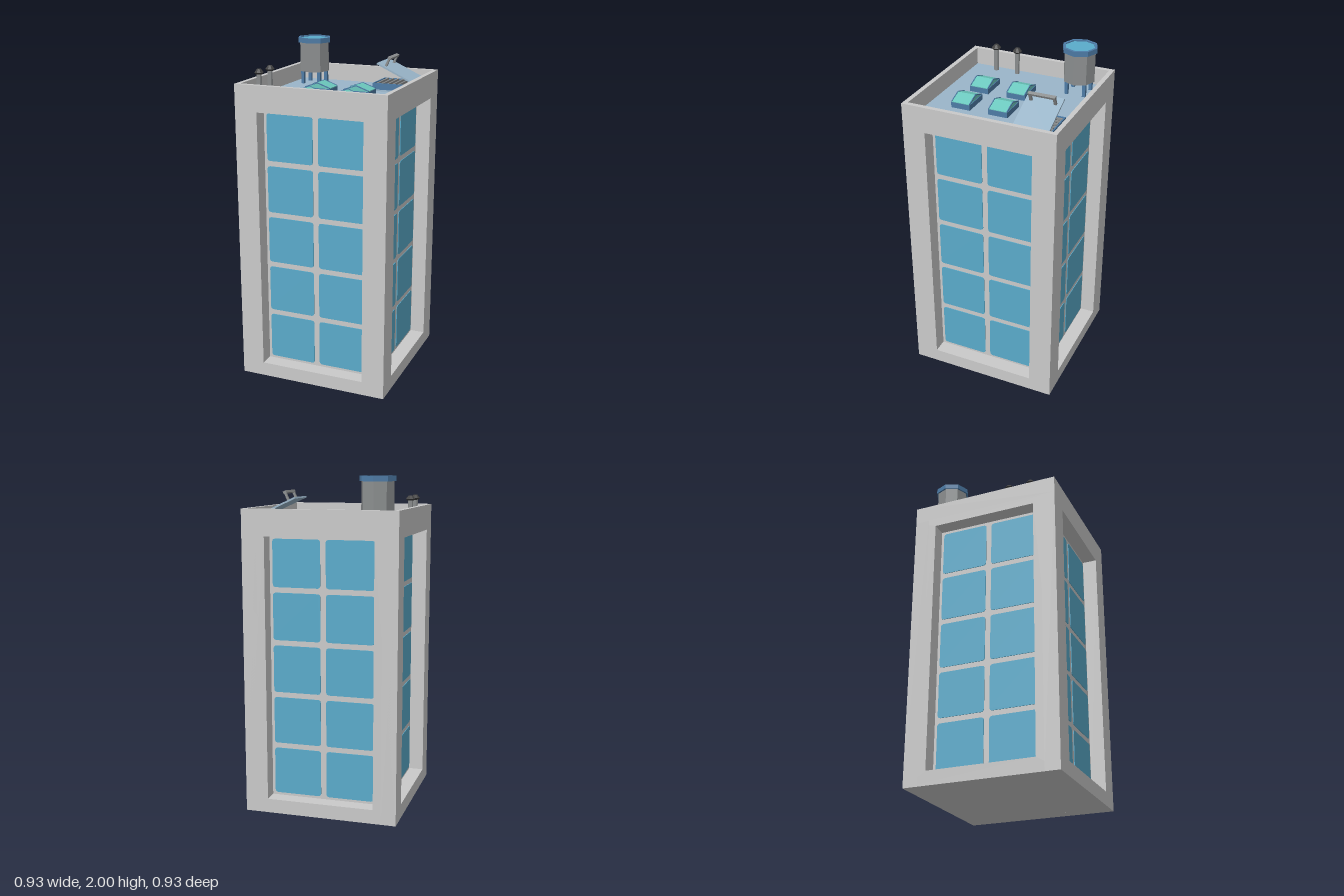
import * as THREE from 'three';

const material = (name, color, extra = {}) => {
  const m = new THREE.MeshStandardMaterial({ color, ...extra });
  m.name = name;
  return m;
};

export function createModel() {
  const concrete = material('concrete', 0xcacaca, { flatShading: true });
  const glass = material('window glass', 0x5aabcb, { flatShading: true });
  const roofBlue = material('roof covering', 0x9ab5c9, { flatShading: true });
  const trim = material('blue trim', 0x4d7ba6, { flatShading: true });
  const teal = material('skylight glass', 0x6cc9be, { flatShading: true });
  const metal = material('grey metal', 0x8c8f90, { flatShading: true });
  const dark = material('dark metal', 0x404040, { flatShading: true });

  const model = new THREE.Group();
  model.name = 'officeTower';

  function add(parent, name, geometry, mat, x = 0, y = 0, z = 0) {
    const mesh = new THREE.Mesh(geometry, mat);
    mesh.name = name;
    mesh.position.set(x, y, z);
    parent.add(mesh);
    return mesh;
  }
  const box = (w, h, d) => new THREE.BoxGeometry(w, h, d);
  const group = (name, x = 0, y = 0, z = 0, parent = model) => {
    const g = new THREE.Group();
    g.name = name;
    g.position.set(x, y, z);
    parent.add(g);
    return g;
  };
  function rect(Type, x0, y0, x1, y1) {
    return new Type([[x0, y0], [x1, y0], [x1, y1], [x0, y1]].map(p => new THREE.Vector2(...p)));
  }
  const extrude = (shape, depth) => new THREE.ExtrudeGeometry(shape, { depth, bevelEnabled: false });

  const H = 0.463, DEPTH = 0.09, FLOOR = 1.712, TOP = 1.815;

  // Core block behind the recessed windows
  add(model, 'core', box(2 * (H - DEPTH), 1.7, 2 * (H - DEPTH)), concrete, 0, 0.85, 0);

  // Window pane with slightly rounded corners
  const w = 0.145, h = 0.141, r = 0.015;
  const pane = new THREE.Shape([
    [-w + r, -h], [w - r, -h], [w - r * 0.3, -h + r * 0.3], [w, -h + r], [w, h - r],
    [w - r * 0.3, h - r * 0.3], [w - r, h], [-w + r, h], [-w + r * 0.3, h - r * 0.3],
    [-w, h - r], [-w, -h + r], [-w + r * 0.3, -h + r * 0.3],
  ].map(p => new THREE.Vector2(...p)));
  const paneGeometry = extrude(pane, 0.004);

  // Four identical facades
  const wall = rect(THREE.Shape, -H, 0, H, 1.71);
  wall.holes.push(rect(THREE.Path, -0.325, 0.085, 0.325, 1.66));
  const wallGeometry = extrude(wall, DEPTH);
  for (let side = 0; side < 4; side++) {
    const facade = group('facade');
    facade.rotation.y = side * Math.PI / 2;
    add(facade, 'wallFrame', wallGeometry, concrete, 0, 0, H - DEPTH);
    for (let row = 0; row < 5; row++)
      for (const s of [-1, 1])
        add(facade, 'windowPane', paneGeometry, glass, s * 0.162, 0.242 + row * 0.3145, H - DEPTH);
  }

  // Parapet ring and roof floor
  const ring = rect(THREE.Shape, -H, -H, H, H);
  ring.holes.push(rect(THREE.Path, -0.435, -0.435, 0.435, 0.435));
  add(model, 'parapet', extrude(ring, TOP - 1.71).rotateX(-Math.PI / 2), concrete, 0, 1.71, 0);
  add(model, 'roofFloor', box(0.87, 0.012, 0.87), roofBlue, 0, FLOOR - 0.006, 0);

  // Water tank on four legs
  const tank = group('waterTank', -0.3, 0, -0.297);
  const octagon = (r0, r1, height) =>
    new THREE.CylinderGeometry(r0, r1, height, 8);
  add(tank, 'tankBody', octagon(0.096, 0.096, 0.185), metal, 0, 1.8825, 0);
  const rimProfile = [[0.09, 1.97], [0.106, 1.97], [0.106, 2], [0.09, 2], [0.09, 1.97]];
  add(tank, 'tankRim', new THREE.LatheGeometry(rimProfile.map(p => new THREE.Vector2(...p)), 8), trim);
  add(tank, 'tankLid', octagon(0.091, 0.091, 0.02), glass, 0, 1.983, 0);
  for (const x of [-1, 1])
    for (const z of [-1, 1])
      add(tank, 'tankLeg', box(0.02, 0.09, 0.02), trim, x * 0.055, FLOOR + 0.044, z * 0.055);

  // Vent pipes with tapered caps
  for (const z of [0.143, 0.284]) {
    const vent = group('ventPipe', -0.395, 0, z);
    add(vent, 'ventStem', octagon(0.016, 0.016, 0.14), metal, 0, FLOOR + 0.07, 0);
    add(vent, 'ventCapBase', octagon(0.029, 0.02, 0.01), dark, 0, 1.852, 0);
    add(vent, 'ventCapTop', octagon(0.013, 0.029, 0.02), dark, 0, 1.867, 0);
  }

  // Gabled skylights: blue curb, teal panes, thin frame bars
  const gable = new THREE.Shape([[-0.08, 0], [0.08, 0], [0.08, 0.004], [0, 0.032], [-0.08, 0.004]]
    .map(p => new THREE.Vector2(...p)));
  const gableGeometry = extrude(gable, 0.108).translate(0, 0, -0.054);
  const slope = Math.atan2(0.028, 0.08);
  for (const [x, z] of [[-0.127, -0.002], [0.12, -0.002], [-0.122, 0.232], [0.12, 0.232]]) {
    const skylight = group('skylight', x, FLOOR, z);
    add(skylight, 'skylightCurb', box(0.164, 0.032, 0.118), trim, 0, 0.016, 0);
    add(skylight, 'skylightGlass', gableGeometry, teal, 0, 0.032, 0);
    for (const s of [-1, 1]) {
      for (const e of [-1, 1]) {
        const bar = add(skylight, 'skylightBar', box(0.085, 0.006, 0.005), trim, s * 0.04, 0.05, e * 0.056);
        bar.rotation.z = -s * slope;
      }
    }
  }

  // Roof hatch: curb, dark slatted steps and a propped lid
  const hatch = group('roofHatch', 0.27, FLOOR, -0.281);
  add(hatch, 'hatchBase', box(0.29, 0.006, 0.24), roofBlue, 0, 0.003, 0);
  for (const s of [-1, 1])
    add(hatch, 'hatchCurbSide', box(0.262, 0.045, 0.008), trim, 0, 0.0225, s * 0.102);
  add(hatch, 'hatchCurbBack', box(0.008, 0.045, 0.212), trim, 0.127, 0.0225, 0);
  add(hatch, 'hatchCurbFront', box(0.008, 0.045, 0.212), trim, -0.127, 0.0225, 0);
  add(hatch, 'hatchDarkWell', box(0.246, 0.036, 0.196), dark, 0, 0.018, 0);
  for (let i = 0; i < 7; i++)
    add(hatch, 'hatchSlat', box(0.012, 0.012, 0.196), metal, -0.105 + i * 0.034, 0.04, 0);

  // Lid tilts up towards the model's right and carries a bar handle
  const lid = group('hatchLid', 0.13, 0.05, 0, hatch);
  lid.rotation.z = -Math.atan2(0.11, 0.24);
  add(lid, 'lidPlate', box(0.262, 0.01, 0.212), roofBlue, -0.131, 0.005, 0);
  for (const s of [-1, 1])
    add(lid, 'handlePost', box(0.012, 0.06, 0.016), metal, -0.212, 0.035, s * 0.072);
  add(lid, 'handleBar', box(0.02, 0.014, 0.16), metal, -0.212, 0.062, 0);

  return model;
}
